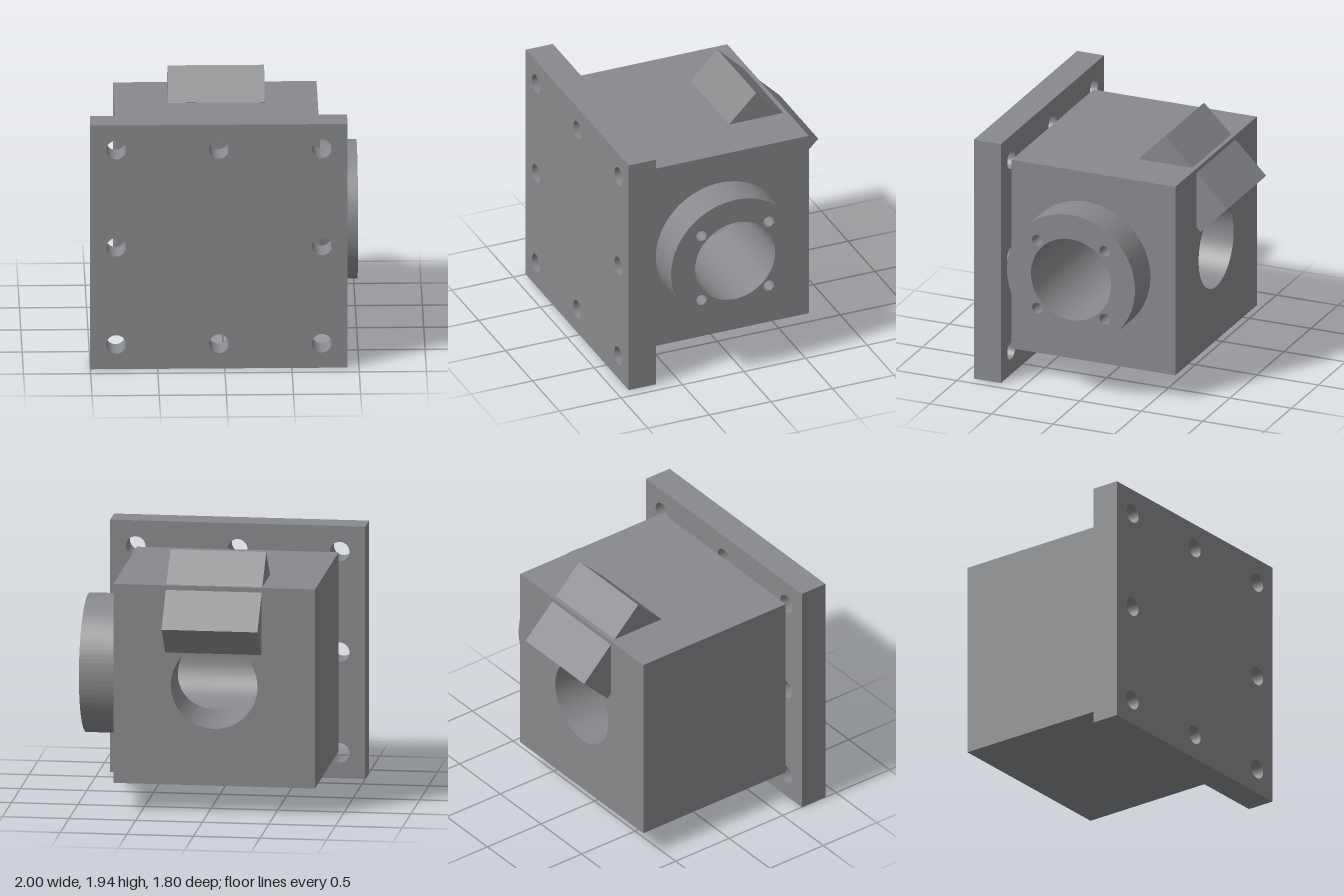
import * as THREE from 'three';

// Shared centre of the bore elbow, and main sizes
const C = { x: -0.0425, y: 0.9625, z: 0.0725 };
const BORE = 0.325;
const BODY = { w: 1.515, h: 1.515, front: 0.68, back: -0.65 };
const SIDE_X = C.x + BODY.w / 2;

function circle(x, y, r) {
  return new THREE.Path().absarc(x, y, r, 0, Math.PI * 2, true);
}

function rectangle(w, h) {
  return new THREE.Shape([[-1, -1], [1, -1], [1, 1], [-1, 1]]
    .map(([x, y]) => new THREE.Vector2(x * w / 2, y * h / 2)));
}

export function createModel() {
  const model = new THREE.Group();
  const metal = new THREE.MeshStandardMaterial({ color: 0x88898c });
  metal.side = THREE.DoubleSide;

  const add = (name, geometry, parent = model) => {
    const mesh = new THREE.Mesh(geometry, metal);
    mesh.name = name;
    parent.add(mesh);
    return mesh;
  };

  // Square mounting plate with eight bolt holes round the edge
  const plate = rectangle(1.915, 1.92);
  for (const i of [-1, 0, 1]) {
    for (const j of [-1, 0, 1]) {
      if (i || j) plate.holes.push(circle(i * 0.766, j * 0.766, 0.073));
    }
  }
  add('mountingPlate', new THREE.ExtrudeGeometry(plate, { depth: 0.22, bevelEnabled: false, curveSegments: 32 })
    .translate(C.x, 0.96, BODY.front));

  // Box housing: faces built singly so that the back and side can be bored
  const housing = new THREE.Group();
  housing.name = 'housing';
  model.add(housing);
  const depth = BODY.front - BODY.back;
  const midZ = (BODY.front + BODY.back) / 2;
  const bored = (w, h, x) => {
    const shape = rectangle(w, h);
    shape.holes.push(circle(x, 0, BORE));
    return new THREE.ShapeGeometry(shape, 48);
  };
  add('housingFront', new THREE.PlaneGeometry(BODY.w, BODY.h).translate(C.x, C.y, BODY.front), housing);
  add('housingBack', bored(BODY.w, BODY.h, 0).rotateY(Math.PI).translate(C.x, C.y, BODY.back), housing);
  add('housingLeftSide', bored(depth, BODY.h, midZ - C.z).rotateY(Math.PI / 2).translate(SIDE_X, C.y, midZ), housing);
  add('housingRightSide', new THREE.PlaneGeometry(depth, BODY.h).rotateY(-Math.PI / 2)
    .translate(C.x - BODY.w / 2, C.y, midZ), housing);
  for (const s of [1, -1]) {
    add(s > 0 ? 'housingTop' : 'housingBottom', new THREE.PlaneGeometry(BODY.w, depth)
      .rotateX(-s * Math.PI / 2).translate(C.x, C.y + s * BODY.h / 2, midZ), housing);
  }

  // Two bores that meet at a mitre inside the housing
  const tube = () => new THREE.CylinderGeometry(BORE, BORE, 1, 96, 1, true);
  const backBore = tube().rotateX(Math.PI / 2);
  const sideBore = tube().rotateZ(-Math.PI / 2);
  const b = backBore.attributes.position;
  const s = sideBore.attributes.position;
  for (let i = 0; i < b.count; i++) {
    b.setZ(i, b.getZ(i) < 0 ? BODY.back - C.z : -b.getX(i));
    s.setX(i, s.getX(i) > 0 ? SIDE_X - C.x : -s.getZ(i));
  }
  add('backBore', backBore.translate(C.x, C.y, C.z));
  add('sideBore', sideBore.translate(C.x, C.y, C.z));

  // Round side flange with a central bore and four screw holes
  const flange = new THREE.Shape().absarc(0, 0, 0.52, 0, Math.PI * 2, false);
  flange.holes.push(circle(0, 0, BORE));
  for (const x of [-1, 1]) {
    for (const y of [-1, 1]) flange.holes.push(circle(x * 0.273, y * 0.273, 0.043));
  }
  add('sideFlange', new THREE.ExtrudeGeometry(flange, { depth: 1 - SIDE_X, bevelEnabled: false, curveSegments: 48 })
    .rotateY(Math.PI / 2).translate(SIDE_X, C.y, C.z));

  // Tilted block set across the upper back edge
  const block = add('tiltedBlock', new THREE.BoxGeometry(0.72, 0.31, 0.714));
  block.position.set(-0.04, 1.578, -0.538);
  block.rotation.x = -Math.PI / 4;

  return model;
}
